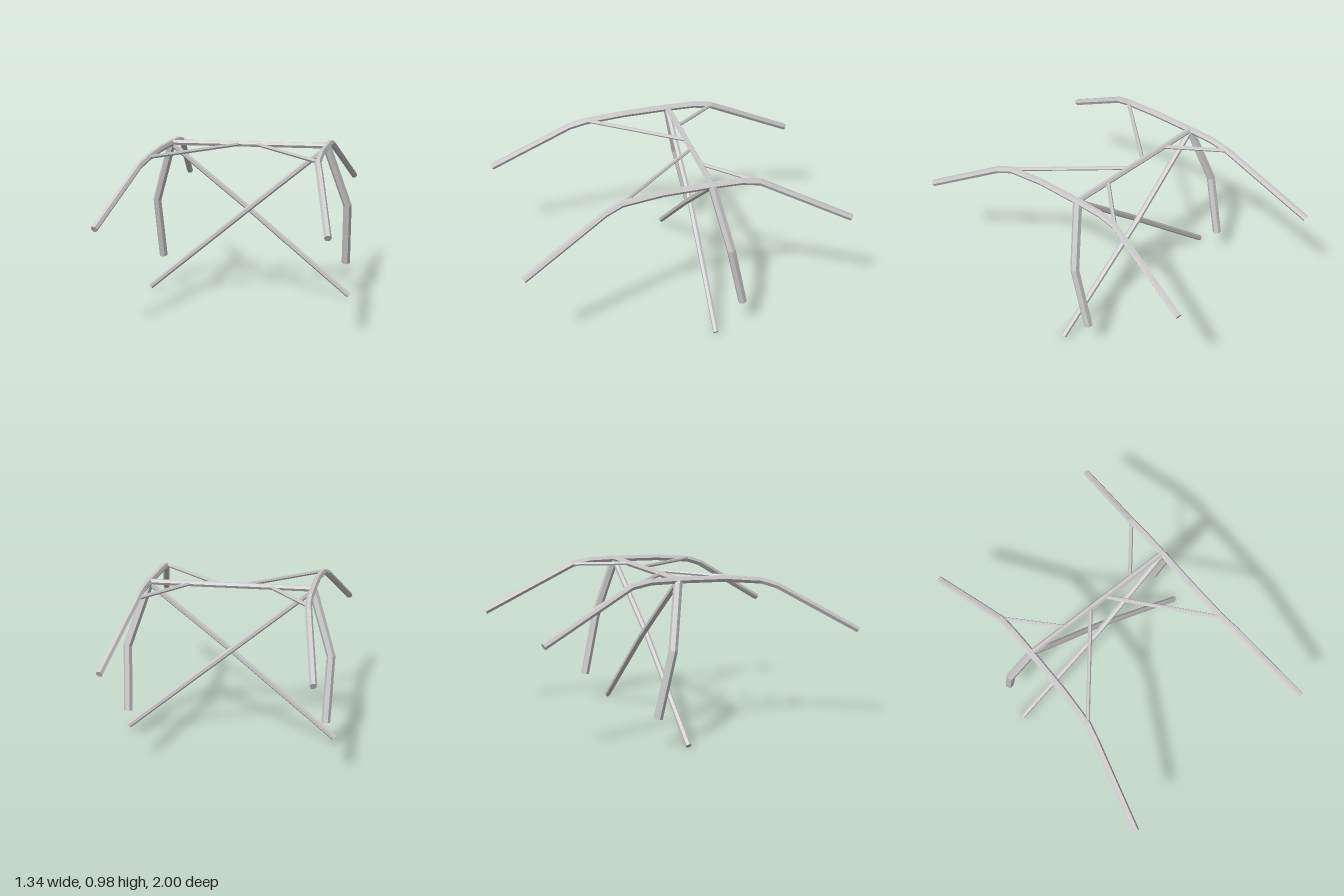
import * as THREE from 'three';

const SIDES = 6;
const Z = -0.145; // plane of the main hoop
const steel = new THREE.MeshStandardMaterial({ color: 0xcccccc, flatShading: true });

// Capped six-sided pipe through the given points, mitred at the bends
function pipe(name, points, radius, up = [0, 1, 0], turn = 0) {
  const pts = points.map((p) => new THREE.Vector3(...p));
  const ref = new THREE.Vector3(...up);
  const pos = [], idx = [];
  const dir = (i) => pts[i + 1].clone().sub(pts[i]).normalize();
  const last = pts.length - 1;
  pts.forEach((p, i) => {
    const t = dir(Math.min(i, last - 1)).add(dir(Math.max(i - 1, 0))).normalize();
    const s = ref.clone().cross(t).normalize();
    const n = t.clone().cross(s);
    for (let k = 0; k < SIDES; k++) {
      const a = turn + (k / SIDES) * Math.PI * 2;
      const v = p.clone().addScaledVector(s, Math.cos(a) * radius).addScaledVector(n, Math.sin(a) * radius);
      pos.push(v.x, v.y, v.z);
    }
  });
  for (let i = 0; i < last; i++) {
    for (let k = 0; k < SIDES; k++) {
      const a = i * SIDES + k, b = i * SIDES + ((k + 1) % SIDES);
      idx.push(a, b, b + SIDES, a, b + SIDES, a + SIDES);
    }
  }
  // End caps
  const e = last * SIDES;
  for (let k = 1; k < SIDES - 1; k++) idx.push(0, k + 1, k, e, e + k, e + k + 1);
  const geo = new THREE.BufferGeometry();
  geo.setAttribute('position', new THREE.Float32BufferAttribute(pos, 3));
  geo.setIndex(idx);
  const flat = geo.toNonIndexed();
  flat.computeVertexNormals();
  const mesh = new THREE.Mesh(flat, steel);
  mesh.name = name;
  return mesh;
}

export function createModel() {
  const cage = new THREE.Group();
  cage.name = 'rollCage';

  for (const [side, m] of [['left', 1], ['right', -1]]) {
    const add = (part, points, radius, up, turn) =>
      cage.add(pipe(side + part, points.map(([x, y, z]) => [x * m, y, z]), radius, up, turn));

    // Long roof rail: front pillar, roof and rear stay in one bent pipe
    add('RoofRail', [
      [0.65, 0.612, 0.99], [0.535, 0.898, 0.49], [0.513, 0.932, 0.39], [0.502, 0.957, 0.15],
      [0.5, 0.965, -0.14], [0.5, 0.965, -0.32], [0.502, 0.945, -0.435], [0.59, 0.665, -0.99],
    ], 0.021);

    // Bent side leg of the hoop
    add('HoopLeg', [[0.5, 0.96, -0.145], [0.624, 0.58, -0.232], [0.61, 0.187, -0.32]], 0.027, [0, 0, 1]);

    // Thin roof braces from the rail to the crossbar
    add('FrontRoofBrace', [[0.51, 0.938, 0.385], [0.06, 0.966, -0.14]], 0.012);
    add('RearRoofBrace', [[0.5, 0.945, -0.435], [0.25, 0.966, -0.15]], 0.012);

    // Diagonal, bowed slightly so the pair pass each other at the crossing
    add('Diagonal', [
      [-0.652, 0.015, Z], [0, 0.553, Z + 0.016 * m], [0.5, 0.96, Z],
    ], 0.018, [0, 0, 1]);
  }

  // Straight bar across the roof
  cage.add(pipe('roofCrossbar', [[-0.5, 0.967, Z], [0.5, 0.967, Z]], 0.018));
  return cage;
}
